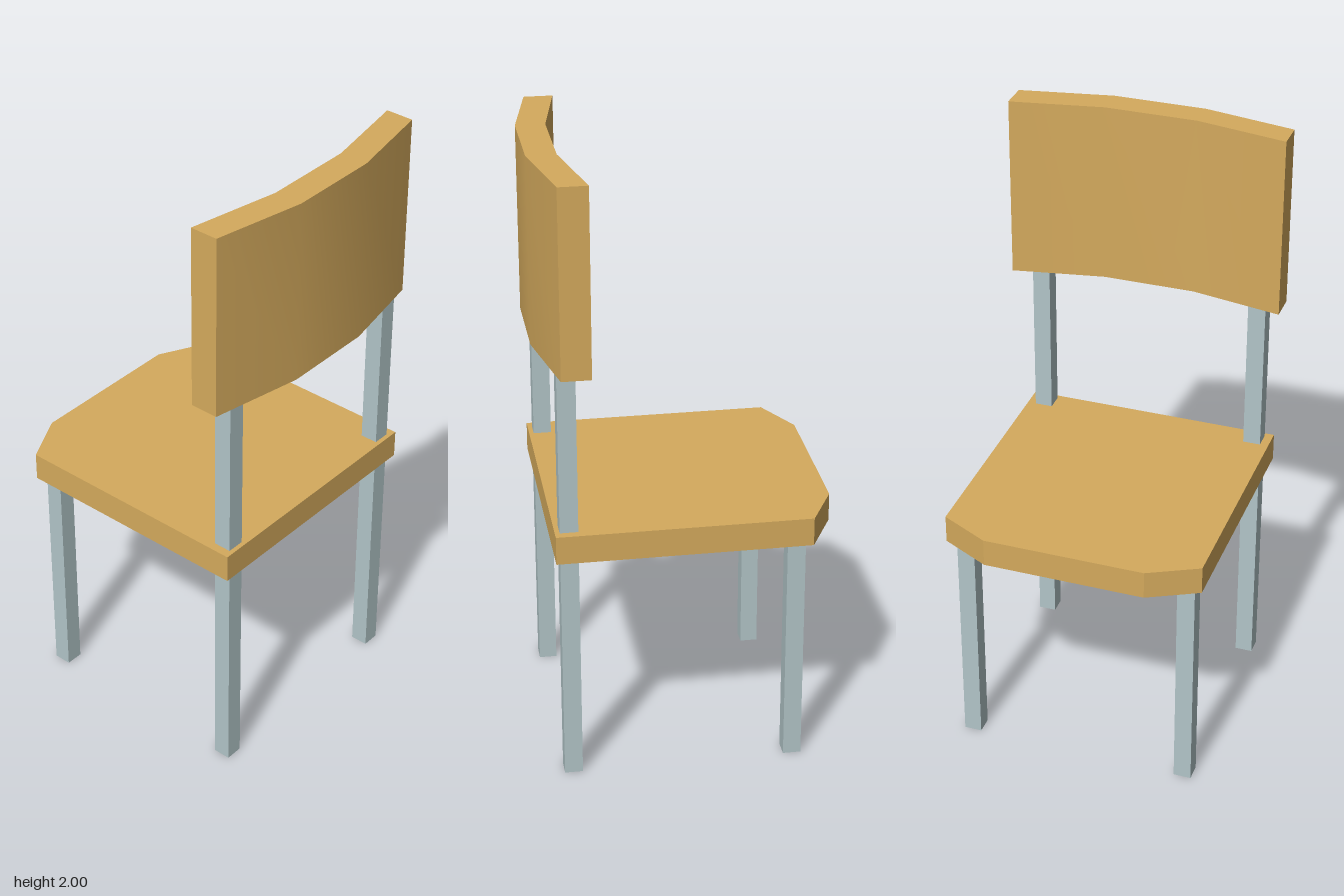
import * as THREE from 'three';
import { toCreasedNormals } from 'three/addons/utils/BufferGeometryUtils.js';

// Hollow slab, open underneath, from a plan outline of [x, z] points
function shell(outline, bottom, top) {
  const shape = new THREE.Shape(outline.map(([x, z]) => new THREE.Vector2(x, -z)));
  const solid = new THREE.ExtrudeGeometry(shape, { depth: top - bottom, bevelEnabled: false });
  // The first half of the lid vertices is the bottom lid: leave it out
  const skip = solid.groups[0].count / 2;
  const geo = new THREE.BufferGeometry();
  geo.setAttribute('position',
    new THREE.BufferAttribute(solid.attributes.position.array.slice(skip * 3), 3));
  geo.computeVertexNormals();
  return geo.rotateX(-Math.PI / 2).translate(0, bottom, 0);
}

// Square tube, open at both ends
function tube(width, height) {
  const r = width / Math.SQRT2;
  const geo = new THREE.CylinderGeometry(r, r, height, 4, 1, true).toNonIndexed();
  geo.computeVertexNormals();
  return geo.rotateY(Math.PI / 4).translate(0, height / 2, 0);
}

export function createModel() {
  const group = new THREE.Group();
  const wood = new THREE.MeshStandardMaterial({ color: 0xd4aa5d, side: THREE.DoubleSide });
  wood.name = 'wood';
  const metal = new THREE.MeshStandardMaterial({ color: 0xb2c5c8, side: THREE.DoubleSide });
  metal.name = 'greyMetal';

  const add = (name, geo, mat, x = 0, z = 0) => {
    const mesh = new THREE.Mesh(geo, mat);
    mesh.name = name;
    mesh.position.set(x, 0, z);
    group.add(mesh);
  };

  // Seat with two cut corners
  add('seat', shell([
    [-0.427, 0.428], [0.427, 0.428], [0.427, -0.381],
    [0.265, -0.464], [-0.265, -0.464], [-0.427, -0.381],
  ], 0.775, 0.868), wood);

  // Curved backrest, smooth across its bends
  const back = shell([
    [-0.454, 0.405], [-0.152, 0.463], [0.152, 0.463], [0.454, 0.405],
    [0.454, 0.312], [0.152, 0.369], [-0.152, 0.369], [-0.454, 0.312],
  ], 1.397, 2);
  add('backrest', toCreasedNormals(back, Math.PI / 6), wood);

  // Long legs run up inside the backrest, short legs up inside the seat
  for (const [side, x] of [['left', 0.37], ['right', -0.37]]) {
    add(side + 'BackrestLeg', tube(0.058, 1.99), metal, x, 0.384);
    add(side + 'ShortLeg', tube(0.058, 0.866), metal, x, -0.333);
  }
  return group;
}
